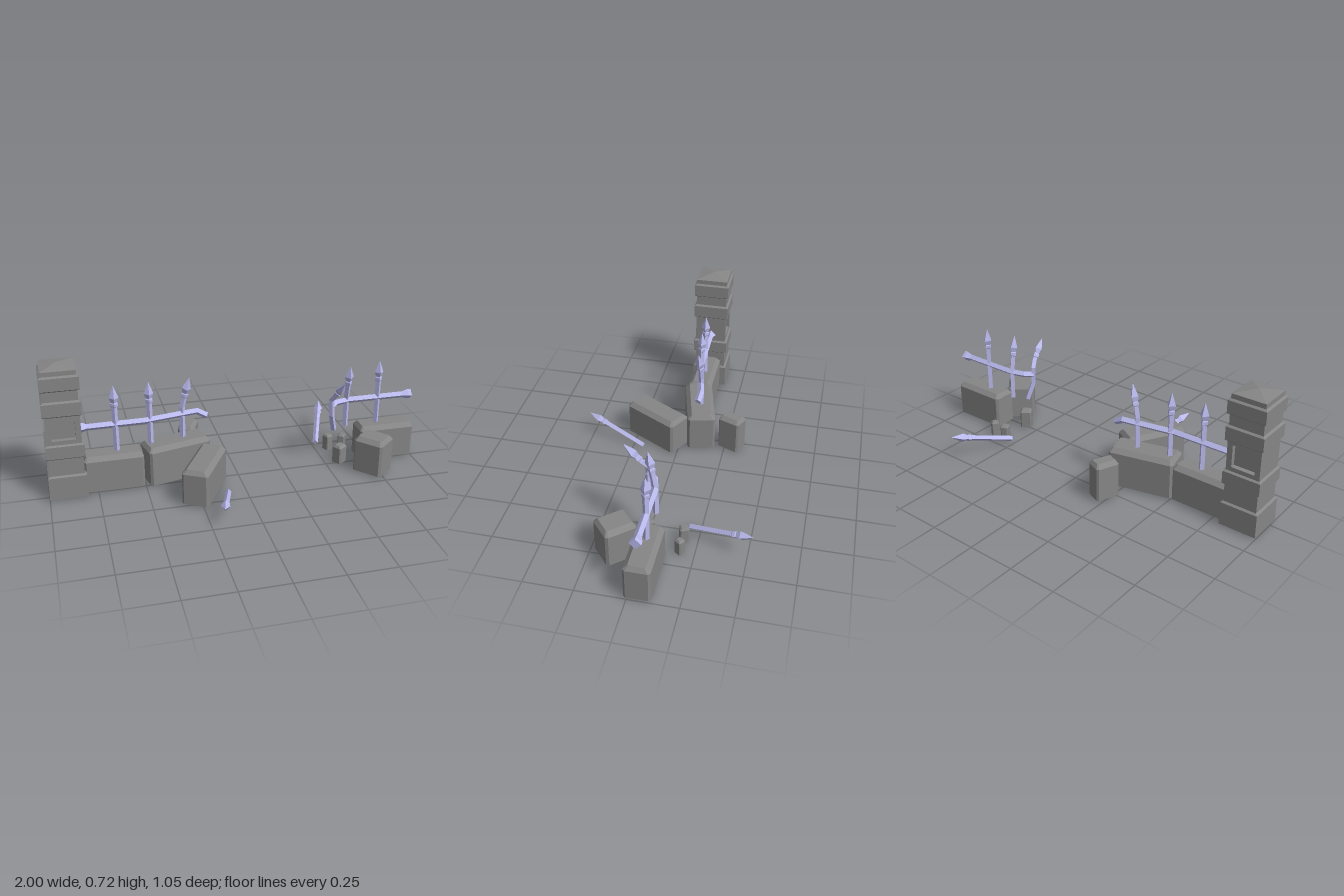
import * as THREE from 'three';

const stone = new THREE.MeshStandardMaterial({ color: 0x868686, flatShading: true, side: THREE.DoubleSide });
const iron = new THREE.MeshStandardMaterial({ color: 0xb9b9ec, flatShading: true });

// Skin a list of equal-sized rings; the top is closed, the bottom on request
function loft(rings, closeBottom = true) {
  const n = rings[0].length, pos = [], idx = [];
  rings.forEach(r => r.forEach(p => pos.push(p.x, p.y, p.z)));
  for (let i = 0; i < rings.length - 1; i++) {
    for (let j = 0; j < n; j++) {
      const a = i * n + j, b = i * n + (j + 1) % n;
      idx.push(a, b, b + n, a, b + n, a + n);
    }
  }
  const last = (rings.length - 1) * n;
  for (let j = 1; j < n - 1; j++) {
    idx.push(last, last + j, last + j + 1);
    if (closeBottom) idx.push(0, j + 1, j);
  }
  const g = new THREE.BufferGeometry();
  g.setAttribute('position', new THREE.Float32BufferAttribute(pos, 3));
  g.setIndex(idx);
  const flat = g.toNonIndexed();
  flat.computeVertexNormals();
  return flat;
}

function add(parent, name, geometry, material) {
  const mesh = new THREE.Mesh(geometry, material);
  mesh.name = name;
  parent.add(mesh);
  return mesh;
}

// Square ring at height y
function square(s, y) {
  return [[-1, -1], [-1, 1], [1, 1], [1, -1]].map(([x, z]) => new THREE.Vector3(x * s / 2, y, z * s / 2));
}

// Rectangular ring with cut corners at height y
function cutRect(w, d, c, y) {
  const a = w / 2, b = d / 2;
  return [[c - a, -b], [-a, c - b], [-a, b - c], [c - a, b], [a - c, b], [a, b - c], [a, c - b], [a - c, -b]]
    .map(([x, z]) => new THREE.Vector3(x, y, z));
}

// Stone block with chamfered top and upright edges
function block(parent, name, x, z, w, d, y0, y1, angle, c = 0.023) {
  const rings = [cutRect(w, d, c / 2, y0), cutRect(w, d, c / 2, y1 - c), cutRect(w - 1.4 * c, d - 2 * c, c / 4, y1)];
  const mesh = add(parent, name, loft(rings), stone);
  mesh.position.set(x, 0, z);
  mesh.rotation.y = angle;
}

// Bar through [point, radius] stations, four-sided and mitred at the bends
function bar(stations) {
  const pts = stations.map(s => s[0]);
  const dir = pts[pts.length - 1].clone().sub(pts[0]).normalize();
  const ref = Math.abs(dir.z) > 0.8 ? new THREE.Vector3(0, 1, 0) : new THREE.Vector3(0, 0, 1);
  return loft(stations.map(([p, r], i) => {
    const t = pts[Math.min(i + 1, pts.length - 1)].clone().sub(p).normalize();
    if (i > 0) t.add(p.clone().sub(pts[i - 1]).normalize());
    t.normalize();
    const u = ref.clone().cross(t).normalize(), v = t.clone().cross(u);
    return [[1, 0], [0, 1], [-1, 0], [0, -1]].map(([cu, cv]) =>
      p.clone().addScaledVector(u, r * cu).addScaledVector(v, r * cv));
  }));
}

// Railing post: shaft, collar and pointed head; the last path point is the tip
function spear(parent, name, path) {
  const pts = path.map(p => new THREE.Vector3(...p));
  const tip = pts.pop();
  const back = pts[pts.length - 1].clone().sub(tip).normalize();
  const head = [[0.115, 0.0155], [0.111, 0.02], [0.095, 0.02], [0.09, 0.0155], [0.064, 0.025], [0, 0.001]];
  const stations = pts.map(p => [p, 0.0155]);
  head.forEach(([d, r]) => stations.push([tip.clone().addScaledVector(back, d), r]));
  add(parent, name, bar(stations), iron);
}

function rail(parent, name, path) {
  add(parent, name, bar(path.map(([x, y, z, r]) => [new THREE.Vector3(x, y, z), r])), iron);
}

function buildPillar() {
  const pillar = new THREE.Group();
  pillar.name = 'pillar';
  const N = 0.175, W = 0.196;
  const rings = list => list.map(([s, y]) => square(s, y));
  // The base is hollow underneath
  add(pillar, 'pillarBase', loft(rings([[W, 0.01], [W, 0.132], [N, 0.14], [N, 0.232],
    [W, 0.24], [W, 0.306], [N, 0.313]]), false), stone);
  add(pillar, 'pillarTop', loft(rings([[N, 0.464], [W, 0.472], [W, 0.54], [N, 0.548], [N, 0.6],
    [W, 0.608], [W, 0.674], [N, 0.682], [N, 0.706], [0.004, 0.723]])), stone);
  // Middle section with a square recess on front and back
  const frame = (w, y0, y1, S) => new S().moveTo(-w, y0).lineTo(w, y0).lineTo(w, y1).lineTo(-w, y1).closePath();
  const shape = frame(N / 2, 0.313, 0.464, THREE.Shape);
  shape.holes.push(frame(0.06, 0.335, 0.45, THREE.Path));
  const middle = new THREE.ExtrudeGeometry(shape, { depth: N, bevelEnabled: false });
  add(pillar, 'pillarMiddle', middle.translate(0, 0, -N / 2), stone);
  add(pillar, 'recessPanel', new THREE.BoxGeometry(0.13, 0.125, N - 0.05), stone).position.y = 0.39;
  pillar.position.set(-0.902, 0, -0.051);
  return pillar;
}

export function createModel() {
  const model = new THREE.Group();
  model.name = 'ruinedFence';
  model.add(buildPillar());

  // Standing and toppled wall pieces: x, z, length, depth, bottom, top, turn
  block(model, 'leftWall', -0.66, -0.05, 0.31, 0.132, 0.01, 0.205, 0);
  block(model, 'turnedWall', -0.324, -0.085, 0.346, 0.152, 0.01, 0.22, 0.237);
  block(model, 'fallenWall', -0.212, 0.133, 0.328, 0.142, 0.01, 0.203, 1.06);
  block(model, 'rearStone', -0.217, -0.287, 0.126, 0.092, 0.01, 0.21, 1.18, 0.02);
  block(model, 'rightWall', 0.845, -0.05, 0.308, 0.132, 0.01, 0.203, 0);
  block(model, 'frontStone', 0.722, 0.122, 0.165, 0.147, 0.01, 0.209, -0.85);

  // Rubble
  block(model, 'rubble', 0.576, 0, 0.062, 0.056, 0.01, 0.113, 0.6, 0.012);
  block(model, 'rubble', 0.571, -0.18, 0.042, 0.046, 0, 0.09, 0.4, 0.01);
  block(model, 'rubble', 0.655, -0.176, 0.038, 0.042, 0, 0.085, -0.6, 0.01);

  // Rails with flared wall ends
  rail(model, 'leftRail', [[-0.82, 0.353, -0.053, 0.028], [-0.805, 0.353, -0.053, 0.028],
    [-0.785, 0.353, -0.053, 0.018], [-0.48, 0.353, -0.057, 0.018], [-0.28, 0.353, -0.095, 0.018],
    [-0.2, 0.353, -0.11, 0.018], [-0.148, 0.325, -0.103, 0.018]]);
  rail(model, 'rightRail', [[0.512, 0.35, 0.005, 0.018], [0.55, 0.353, -0.03, 0.018],
    [0.63, 0.353, -0.051, 0.018], [0.945, 0.353, -0.051, 0.018], [0.975, 0.353, -0.051, 0.028],
    [0.995, 0.353, -0.051, 0.028]]);

  // Upright and bent posts
  spear(model, 'post', [[-0.637, 0.19, -0.053], [-0.637, 0.565, -0.053]]);
  spear(model, 'post', [[-0.457, 0.2, -0.064], [-0.457, 0.565, -0.064]]);
  spear(model, 'bentPost', [[-0.282, 0.2, -0.097], [-0.28, 0.39, -0.097], [-0.27, 0.44, -0.096], [-0.24, 0.558, -0.086]]);
  spear(model, 'leaningPost', [[0.62, 0.2, -0.053], [0.62, 0.36, -0.051], [0.62, 0.563, -0.018]]);
  spear(model, 'post', [[0.8, 0.19, -0.051], [0.8, 0.565, -0.051]]);
  spear(model, 'bentPost', [[0.542, 0.2, -0.017], [0.517, 0.3, 0.008], [0.513, 0.39, 0.007],
    [0.526, 0.425, 0.035], [0.54, 0.523, 0.117]]);

  // Fallen posts
  spear(model, 'fallenPost', [[-0.1, 0.017, 0.19], [-0.195, 0.122, 0.523]]);
  spear(model, 'fallenPost', [[0.505, 0.035, -0.2], [0.63, 0.142, -0.523]]);
  return model;
}
